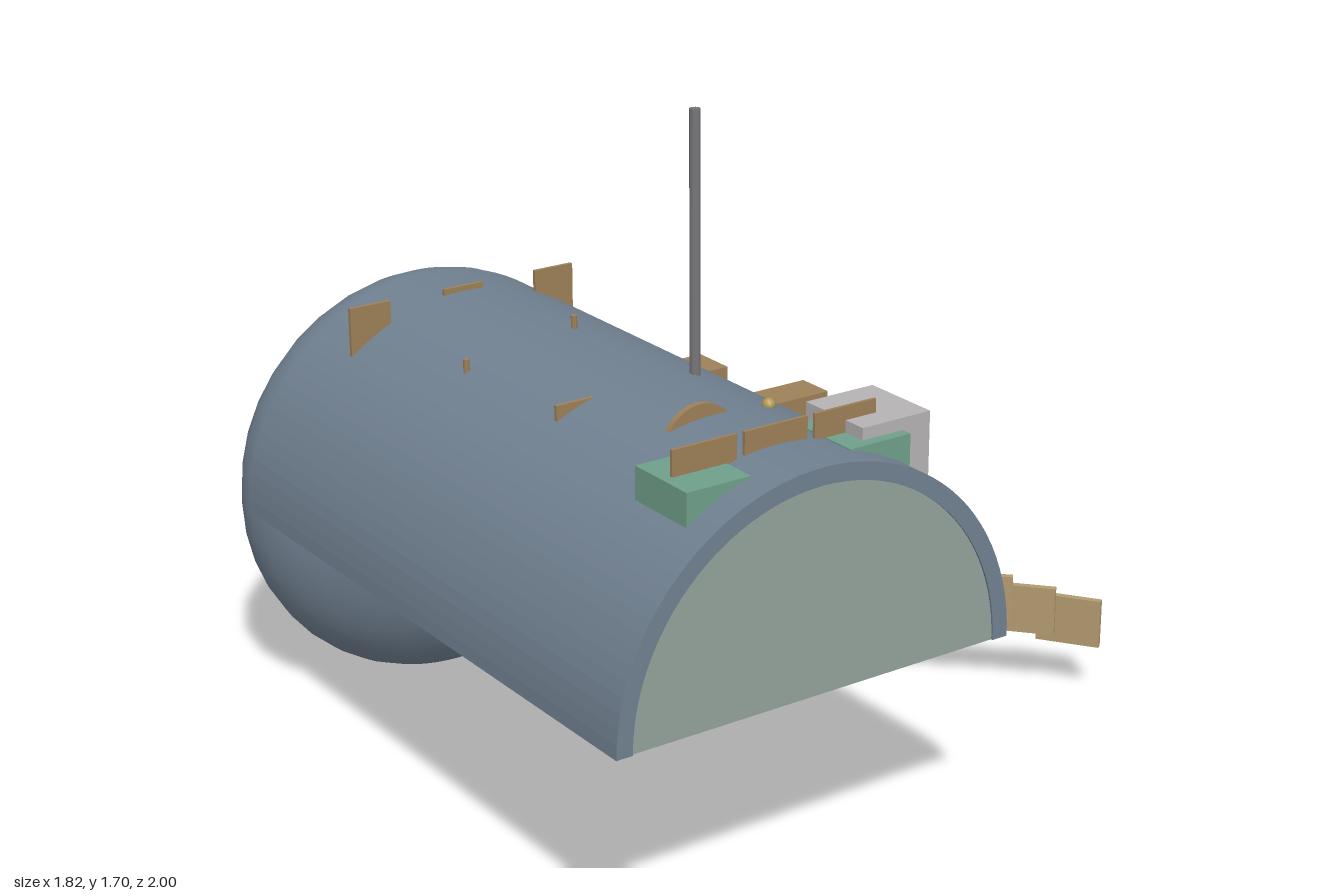
import * as THREE from 'three';

const CX = -0.372, CY = 0.545, R = 0.537, INNER = 0.495;

export function createModel() {
  const model = new THREE.Group();
  const mat = (color, side = THREE.FrontSide) => new THREE.MeshStandardMaterial({ color, side });
  const hullMat = mat(0x708090), wood = mat(0xb39a70), brown = mat(0x9c8059), dark = mat(0x5a4632);
  const green = mat(0x6f9f8a), grey = mat(0xb4b2b2), blue = mat(0x5f86b0), metal = mat(0x77777a);

  const add = (name, geo, material, x = 0, y = 0, z = 0, parent = model) => {
    const m = new THREE.Mesh(geo, material);
    m.name = name;
    m.position.set(x, y, z);
    parent.add(m);
    return m;
  };
  // Box given by its limits on each axis
  const box = (name, material, x0, x1, y0, y1, z0, z1) =>
    add(name, new THREE.BoxGeometry(x1 - x0, y1 - y0, z1 - z0), material,
      (x0 + x1) / 2, (y0 + y1) / 2, (z0 + z1) / 2);
  const rod = (name, material, r, x, y0, y1, z) =>
    add(name, new THREE.CylinderGeometry(r, r, y1 - y0, 8), material, x, (y0 + y1) / 2, z);

  // Vaulted hull: half ring extruded along z
  const arch = new THREE.Shape();
  arch.absarc(0, 0, R, 0, Math.PI, false);
  arch.absarc(0, 0, INNER, Math.PI, 0, true);
  arch.closePath();
  add('vaultHull', new THREE.ExtrudeGeometry(arch, { depth: 1.67, bevelEnabled: false, curveSegments: 24 }),
    hullMat, CX, CY, -0.67);

  // Inner lining of the vault
  const lining = new THREE.CylinderGeometry(INNER - 0.003, INNER - 0.003, 1.66, 24, 1, true, -Math.PI / 2, Math.PI);
  lining.rotateX(-Math.PI / 2);
  // keep the upper half whichever way the arc starts
  lining.computeBoundingBox();
  if (lining.boundingBox.max.y < 0.1) lining.rotateZ(Math.PI);
  add('innerLining', lining, mat(0x6f9f8f, THREE.BackSide), CX, CY, 0.165);

  // Rounded rear end
  const dome = add('rearDome', new THREE.SphereGeometry(1, 32, 20), hullMat, CX, 0.542, -0.67);
  dome.scale.set(0.537, 0.539, 0.33);

  // Half-round front window
  const pane = new THREE.Shape();
  pane.absarc(0, 0, INNER, 0, Math.PI, false);
  pane.closePath();
  add('frontWindow', new THREE.ShapeGeometry(pane, 24), mat(0x93a39b, THREE.DoubleSide), CX, CY, 0.995);

  // Central mast
  rod('mast', metal, 0.013, -0.227, 0.33, 1.7, 0.318);

  // Curved flight of upright planks descending to the left
  const stairs = new THREE.Group();
  stairs.name = 'curvedStair';
  model.add(stairs);
  const plank = new THREE.BoxGeometry(0.167, 0.13, 0.018);
  for (let i = 0; i < 11; i++) {
    const x = 0.855 - 0.097 * i;
    const z = 0.213 + 0.6 * Math.max(0, x - 0.2) ** 2;
    const step = add('stairPlank', plank, wood, x, 0.205 + 0.03 * i + 0.0012 * i * i, z, stairs);
    step.rotation.y = -THREE.MathUtils.degToRad(55 - 6.3 * i);
  }

  // Panels through the roof, front and rear rows
  for (let i = 0; i < 3; i++) {
    const xf = -0.65 + 0.19 * i, xr = -0.7 + 0.268 * i;
    box('frontPanel', brown, xf, xf + 0.17, 0.96, 1.13, 0.826, 0.834);
    box('rearPanel', brown, xr, xr + 0.113, 0.95, 1.095, -0.49, -0.48);
  }

  // Blocks through the roof
  for (const x of [-0.675, -0.24]) box('greenBlock', green, x, x + 0.168, 0.93, 1.068, 0.73, 0.922);
  box('greyBlock', grey, -0.185, 0.005, 0.91, 1.097, 0.69, 0.895);
  box('woodCabinet', brown, -0.1, 0.06, 0.85, 1.0, 0.36, 0.455);
  box('smallCabinet', brown, -0.1, 0.025, 0.87, 0.965, -0.015, 0.1);
  for (const z of [0.315, 0.505]) box('bluePanel', blue, -0.05, 0.043, 0.85, 0.933, z - 0.005, z + 0.005);
  box('roofFin', brown, -0.61, -0.45, 0.95, 1.064, 0.308, 0.318);

  // Upright disc, knob and pegs on the roof
  add('roofDisc', new THREE.CylinderGeometry(0.098, 0.098, 0.016, 24), brown, -0.415, 1.017, 0.598)
    .rotation.x = Math.PI / 2;
  add('roofKnob', new THREE.SphereGeometry(0.016, 12, 8), mat(0xb39a50), -0.205, 1.06, 0.577);
  for (const x of [-0.605, -0.3]) rod('roofPeg', brown, 0.008, x, 0.95, x < -0.5 ? 1.06 : 1.11, -0.087);

  // Furnishings seen through the open underside
  add('rug', new THREE.CylinderGeometry(0.25, 0.25, 0.008, 32), mat(0x6b4238), -0.37, 0.56, 0.36);
  add('tableTop', new THREE.CylinderGeometry(0.14, 0.14, 0.02, 24), dark, -0.2, 0.59, 0.68);
  for (const dx of [-0.07, 0.07]) for (const dz of [-0.07, 0.07])
    rod('tableLeg', brown, 0.01, -0.2 + dx, 0.55, 0.59, 0.68 + dz);
  const seat = add('roundCushion', new THREE.SphereGeometry(1, 24, 16), mat(0x4f8a66), -0.22, 0.56, 0.413);
  seat.scale.set(0.069, 0.082, 0.093);
  box('cushionBase', mat(0xb08463), -0.26, -0.185, 0.51, 0.57, 0.495, 0.56);
  box('smallPeg', dark, -0.39, -0.36, 0.528, 0.58, 0.845, 0.87);
  box('greyCrate', grey, -0.605, -0.515, 0.47, 0.56, 0.025, 0.08);
  box('chairSeat', brown, -0.64, -0.5, 0.56, 0.58, 0.27, 0.41);
  box('chairBack', mat(0xb08463), -0.64, -0.625, 0.56, 0.7, 0.27, 0.41);
  box('desk', dark, -0.1, 0.08, 0.62, 0.65, -0.32, 0.0);
  return model;
}
